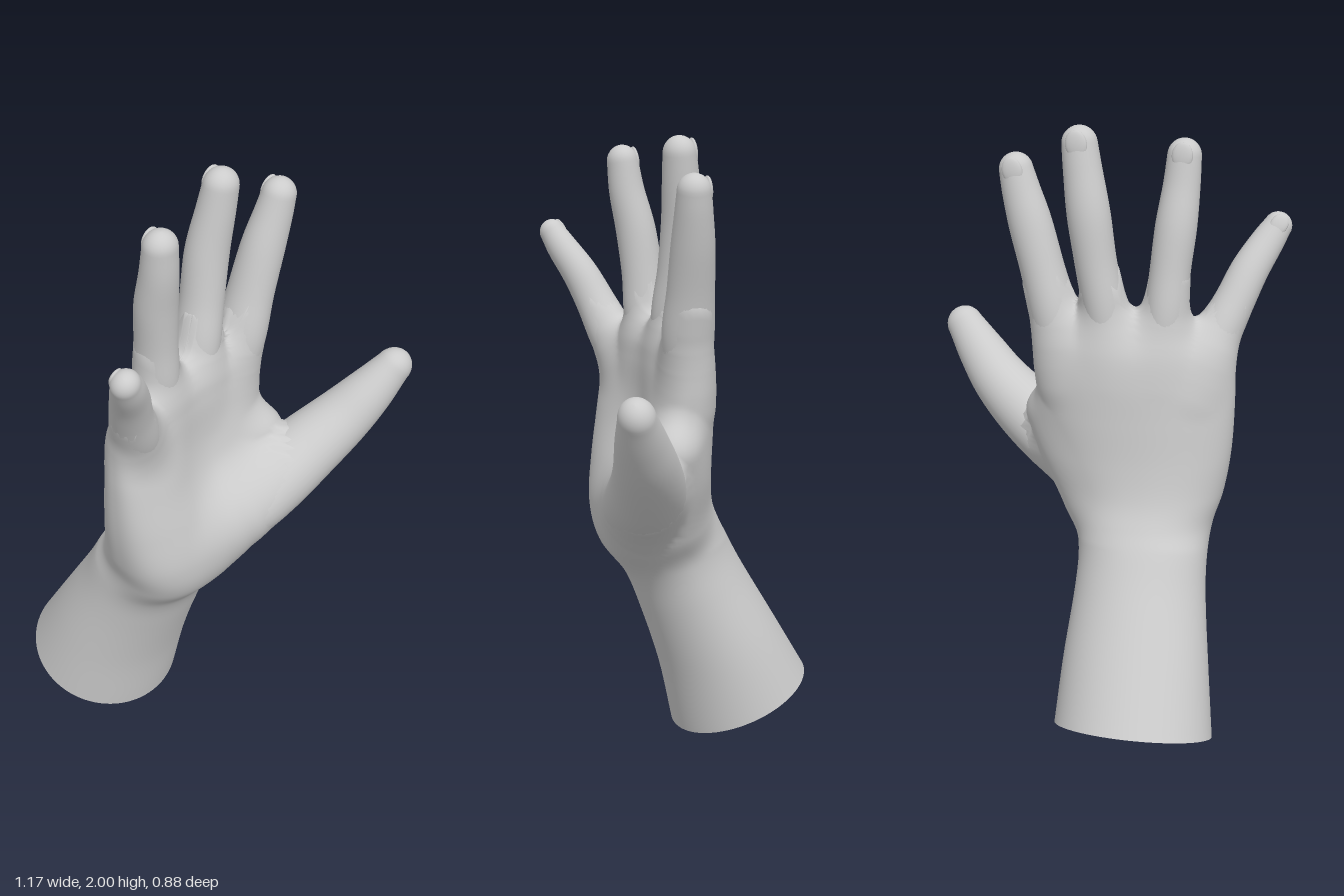
import * as THREE from 'three';

const V = (x, y, z) => new THREE.Vector3(x, y, z);
const material = new THREE.MeshStandardMaterial({ color: 0xcccccc });
const openMaterial = new THREE.MeshStandardMaterial({ color: 0xcccccc, side: THREE.DoubleSide });

// Smoothly interpolate every column of a table of cross-sections
function sampler(rows) {
  const curves = rows[0].map((_, c) =>
    new THREE.CatmullRomCurve3(rows.map(r => V(r[c], 0, 0)), false, 'catmullrom'));
  return t => curves.map(c => c.getPoint(t).x);
}

// Skin a list of closed rings, welded around the seam
function skin(rings) {
  const n = rings[0].length, index = [];
  for (let i = 0; i < rings.length - 1; i++)
    for (let j = 0; j < n; j++) {
      const a = i * n + j, b = i * n + (j + 1) % n;
      index.push(a, b, a + n, b, b + n, a + n);
    }
  const g = new THREE.BufferGeometry().setFromPoints(rings.flat());
  g.setIndex(index);
  g.computeVertexNormals();
  return g;
}

const ring = (sides, point) => Array.from({ length: sides }, (_, j) => point(j / sides * Math.PI * 2));

function mesh(name, geometry, mat = material) {
  const m = new THREE.Mesh(geometry, mat);
  m.name = name;
  return m;
}

// Digits from root to tip: [x, y, z, half width, half depth]
const DIGITS = {
  littleFinger: [
    [-0.31, 1.15, 0.10, 0.06, 0.06], [-0.37, 1.31, 0.16, 0.073, 0.076], [-0.427, 1.44, 0.21, 0.064, 0.065],
    [-0.465, 1.53, 0.25, 0.06, 0.058], [-0.51, 1.61, 0.295, 0.053, 0.05], [-0.54, 1.66, 0.32, 0.045, 0.042],
  ],
  ringFinger: [
    [-0.21, 1.2, 0.08, 0.06, 0.06], [-0.227, 1.4, 0.095, 0.068, 0.075], [-0.237, 1.55, 0.108, 0.064, 0.067],
    [-0.25, 1.69, 0.125, 0.065, 0.064], [-0.26, 1.81, 0.15, 0.058, 0.057], [-0.265, 1.905, 0.162, 0.053, 0.05],
  ],
  middleFinger: [
    [-0.06, 1.2, 0.065, 0.06, 0.06], [-0.038, 1.42, 0.068, 0.068, 0.077], [-0.01, 1.58, 0.062, 0.066, 0.07],
    [0.012, 1.73, 0.06, 0.068, 0.066], [0.033, 1.86, 0.072, 0.061, 0.058], [0.045, 1.943, 0.08, 0.056, 0.052],
  ],
  indexFinger: [
    [0.09, 1.18, 0.07, 0.06, 0.06], [0.128, 1.38, 0.085, 0.075, 0.082], [0.169, 1.54, 0.09, 0.07, 0.074],
    [0.208, 1.68, 0.097, 0.069, 0.067], [0.238, 1.78, 0.105, 0.061, 0.058], [0.255, 1.845, 0.11, 0.054, 0.052],
  ],
  thumb: [
    [-0.1, 0.815, 0.15, 0.09, 0.1], [0.02, 0.845, 0.2, 0.115, 0.125], [0.14, 0.905, 0.228, 0.122, 0.126],
    [0.26, 0.98, 0.262, 0.111, 0.113], [0.37, 1.065, 0.305, 0.096, 0.096], [0.45, 1.15, 0.345, 0.081, 0.078],
    [0.52, 1.235, 0.38, 0.062, 0.056],
  ],
};

// Fold of skin between thumb and index finger, only felt through the palm
const THUMB_WEB = [[0.02, 0.78, 0.1, 0.07, 0.07], [0.1, 0.92, 0.13, 0.08, 0.08], [0.17, 1.04, 0.15, 0.07, 0.07]];

// Rounded digit with its nail
function digit(name, rows) {
  const at = sampler(rows), rings = [], N = 30;
  const pos = t => V(...at(t).slice(0, 3));
  const tangent = t => pos(Math.min(1, t + 0.01)).sub(pos(Math.max(0, t - 0.01))).normalize();
  // axes across the digit: u towards the palm side, v sideways
  const frame = T => {
    const u = V(0, 0, 1).addScaledVector(T, -T.z).normalize();
    return { u, v: T.clone().cross(u) };
  };
  const addRing = (c, T, w, d) => {
    const { u, v } = frame(T);
    rings.push(ring(32, a => c.clone().addScaledVector(u, d * Math.cos(a)).addScaledVector(v, w * Math.sin(a))));
  };
  for (let i = 0; i <= N; i++) {
    const [x, y, z, w, d] = at(i / N);
    addRing(V(x, y, z), tangent(i / N), w, d);
  }
  // fingertip dome
  const [x, y, z, w, d] = at(1), T = tangent(1);
  for (let k = 1; k <= 8; k++) {
    const p = k / 8 * Math.PI / 2, s = Math.max(Math.cos(p), 0.001);
    addRing(V(x, y, z).addScaledVector(T, w * Math.sin(p)), T, w * s, d * s);
  }
  const group = new THREE.Group();
  group.name = name;
  group.add(mesh(name + 'Flesh', skin(rings)));

  // nail sunk into the back of the tip
  if (name !== 'thumb') {
    const { u, v } = frame(T);
    const nail = mesh(name + 'Nail', new THREE.SphereGeometry(1, 16, 10));
    nail.quaternion.setFromRotationMatrix(new THREE.Matrix4().makeBasis(v, T, u));
    nail.scale.set(w * 0.62, w * 0.8, w * 0.22);
    nail.position.set(x, y, z).addScaledVector(u, -d * 0.81);
    group.add(nail);
  }
  return group;
}

// Distance from a point to a digit, taken as a chain of tapered capsules
function distanceTo(rows) {
  const at = sampler(rows), N = 16, e = V(0, 0, 0), q = V(0, 0, 0);
  const knots = Array.from({ length: N + 1 }, (_, i) => {
    const [x, y, z, w, d] = at(i / N);
    return { c: V(x, y, z), r: (w + d) / 2 };
  });
  return p => {
    let best = Infinity;
    for (let i = 0; i < N; i++) {
      const a = knots[i], b = knots[i + 1];
      e.subVectors(b.c, a.c);
      q.subVectors(p, a.c);
      const t = THREE.MathUtils.clamp(q.dot(e) / e.lengthSq(), 0, 1);
      best = Math.min(best, q.addScaledVector(e, -t).length() - a.r - t * (b.r - a.r));
    }
    return best;
  };
}

// Forearm, wrist and palm: [y, left x, right x, back z, front z, tilt, forward bend of the outer edge, boxiness]
const ARM = [
  [0.095, -0.46, 0.055, -0.44, 0.01, -0.42, 0, 1],
  [0.30, -0.43, 0.045, -0.325, 0.06, -0.42, 0, 1],
  [0.50, -0.40, 0.03, -0.21, 0.13, -0.42, 0, 1],
  [0.62, -0.39, 0.03, -0.15, 0.185, -0.35, 0, 0.95],
  [0.71, -0.392, 0.055, -0.11, 0.265, -0.2, 0.01, 0.82],
  [0.81, -0.42, 0.09, -0.075, 0.285, -0.1, 0.02, 0.78],
  [0.94, -0.44, 0.14, -0.055, 0.265, 0, 0.03, 0.78],
  [1.08, -0.447, 0.175, -0.045, 0.23, 0, 0.045, 0.78],
  [1.20, -0.445, 0.188, -0.038, 0.195, 0, 0.06, 0.78],
  [1.29, -0.425, 0.182, -0.024, 0.175, 0, 0.065, 0.8],
  [1.35, -0.375, 0.168, 0, 0.16, 0, 0.06, 0.85],
  [1.395, -0.30, 0.14, 0.03, 0.135, 0, 0.04, 0.9],
  [1.42, -0.22, 0.07, 0.06, 0.11, 0, 0.02, 1],
];

function forearmAndPalm() {
  const at = sampler(ARM), rings = [], N = 110;
  const pow = (s, p) => Math.sign(s) * Math.abs(s) ** p;
  for (let i = 0; i <= N; i++) {
    const [y, x0, x1, z0, z1, tilt, bend, box] = at(i / N);
    const hw = (x1 - x0) / 2, hd = (z1 - z0) / 2;
    rings.push(ring(96, a => {
      const front = Math.cos(a) > 0, p = front ? box : Math.max(box, 0.92);
      const s = pow(Math.sin(a), p), dz = hd * pow(Math.cos(a), p);
      const x = (x0 + x1) / 2 + hw * s;
      // hollow of the palm
      const dip = front
        ? 0.045 * Math.cos(a) * Math.exp(-(((x + 0.1) / 0.14) ** 2) - ((y - 1.08) / 0.16) ** 2) : 0;
      return V(x, y + tilt * dz, (z0 + z1) / 2 + dz + bend * (s * s - s) / 2 - dip);
    }));
  }
  // close the top between the fingers
  const last = rings[N];
  const centre = last.reduce((s, q) => s.add(q), V(0, 0, 0)).divideScalar(last.length);
  for (let k = 1; k <= 12; k++) rings.push(last.map(q => q.clone().lerp(centre, k / 12)));
  const geometry = skin(rings);

  // swell the skin along its normals until it blends into every digit
  const pulls = Object.entries(DIGITS).map(([name, rows]) => ({ dist: distanceTo(rows), k: name === 'thumb' ? 0.12 : 0.06 }));
  pulls.push({ dist: distanceTo(THUMB_WEB), k: 0.1 });
  const P = geometry.attributes.position, M = geometry.attributes.normal;
  const p = V(0, 0, 0), n = V(0, 0, 0), q = V(0, 0, 0);
  for (let i = 0; i < P.count; i++) {
    p.fromBufferAttribute(P, i);
    n.fromBufferAttribute(M, i);
    if (p.y < 0.55) continue;
    let s = 0;
    for (let step = 0; step < 14 && s < 0.14; step++) {
      q.copy(p).addScaledVector(n, s);
      let f = s;
      for (const { dist, k } of pulls) {
        const d = dist(q), h = Math.max(k - Math.abs(s - d), 0) / k;
        f = Math.min(f, Math.min(s, d) - h * h * k / 4);
      }
      s = Math.min(s - f, 0.14);
    }
    q.copy(p).addScaledVector(n, s);
    P.setXYZ(i, q.x, q.y, q.z);
  }
  geometry.computeVertexNormals();
  return mesh('forearmAndPalm', geometry, openMaterial);
}

export function createModel() {
  const hand = new THREE.Group();
  hand.name = 'hand';
  hand.add(forearmAndPalm());
  for (const [name, rows] of Object.entries(DIGITS)) hand.add(digit(name, rows));
  return hand;
}
